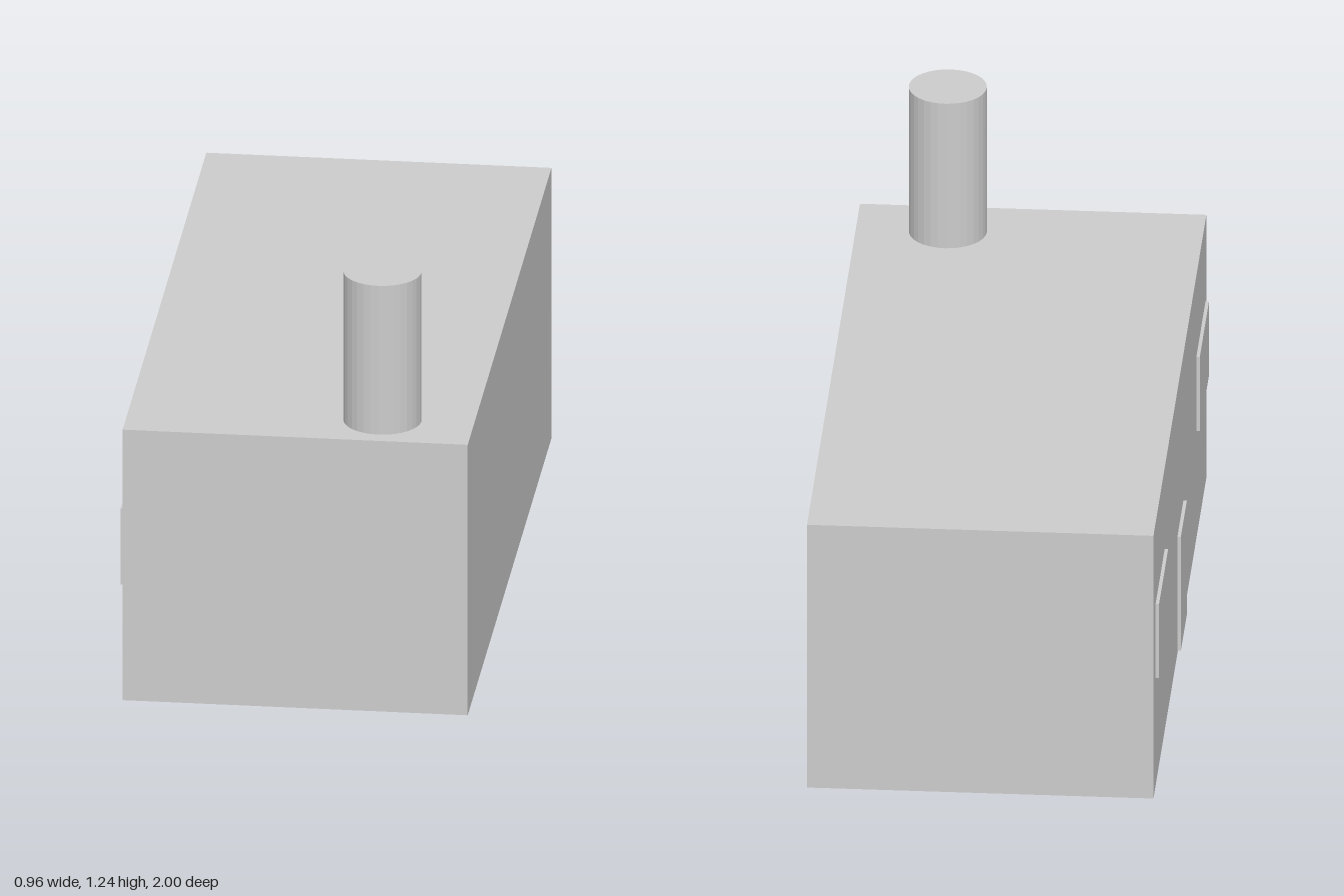
import * as THREE from 'three';

export function createModel() {
  const group = new THREE.Group();
  group.name = 'house';
  const grey = new THREE.MeshStandardMaterial({ color: 0xcccccc, flatShading: true });
  grey.name = 'plain grey';

  const add = (name, geometry, x, y, z) => {
    const mesh = new THREE.Mesh(geometry, grey);
    mesh.name = name;
    mesh.position.set(x, y, z);
    group.add(mesh);
  };

  // Main block with a flat roof
  const wallX = -0.47;
  add('building', new THREE.BoxGeometry(0.95, 0.8, 2), 0.005, 0.4, 0);

  // Round chimney near the front corner
  add('chimney', new THREE.CylinderGeometry(0.107, 0.107, 0.44, 32), 0.228, 1.02, 0.848);

  // Thin plates standing proud of the right-hand wall
  const plate = (name, y0, y1, z0, z1) =>
    add(name, new THREE.BoxGeometry(0.0095, y1 - y0, z1 - z0),
      wallX - 0.00475, (y0 + y1) / 2, (z0 + z1) / 2);

  plate('backWindow', 0.328, 0.553, -0.92, -0.575);
  plate('door', 0.008, 0.355, -0.095, 0.13);
  plate('frontWindow', 0.328, 0.553, 0.62, 0.967);

  return group;
}
